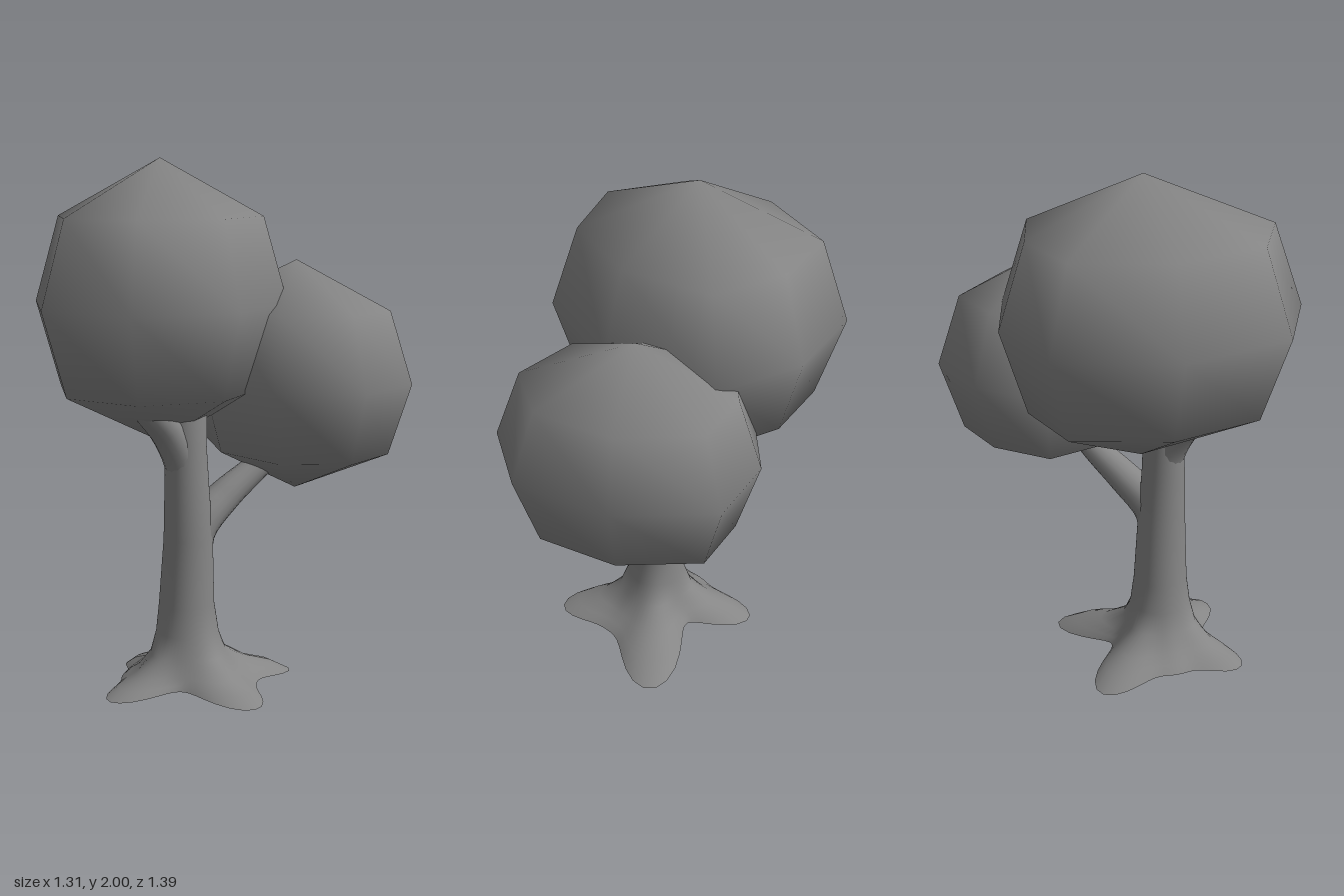
import * as THREE from 'three';

const material = new THREE.MeshStandardMaterial({ color: 0x868686 });
const SIDES = 60;

function addMesh(group, name, geometry) {
  const mesh = new THREE.Mesh(geometry, material);
  mesh.name = name;
  group.add(mesh);
}

// Eight-sided ball, sheared into shape by two horizontal half axes u and v ([x, z])
function crown(center, u, v, height, bottom) {
  const geo = new THREE.SphereGeometry(1, 8, 4);
  const pos = geo.attributes.position;
  const p = new THREE.Vector3();
  for (let i = 0; i < pos.count; i++) {
    p.fromBufferAttribute(pos, i);
    // Upper and lower rings sit a little wider than on a true sphere
    if (Math.abs(p.y) > 0.5 && Math.abs(p.y) < 0.9) {
      p.set(p.x * 0.81 / Math.SQRT1_2, Math.sign(p.y) * 0.6, p.z * 0.81 / Math.SQRT1_2);
    }
    geo.attributes.normal.setXYZ(i, p.x, p.y, p.z);
    // The diagonal corners are pulled in, most of all the rear one
    if (Math.abs(p.x * p.z) > 0.1) {
      const pull = p.x * p.z < 0 ? 0.96 : p.x < 0 ? 0.86 : 1;
      p.x *= pull;
      p.z *= pull;
    }
    if (p.y < -0.9) p.y = -bottom;
    pos.setXYZ(i, p.x, p.y, p.z);
  }
  geo.applyMatrix4(new THREE.Matrix4().set(
    u[0], 0, v[0], center[0],
    0, height, 0, center[1],
    u[1], 0, v[1], center[2],
    0, 0, 0, 1));
  return geo;
}

// Tube whose radius narrows evenly from r0 to r1
function branch(points, r0, r1) {
  const curve = new THREE.CatmullRomCurve3(points.map((p) => new THREE.Vector3(...p)));
  const rows = 16, sides = 16;
  const geo = new THREE.TubeGeometry(curve, rows, 1, sides);
  const pos = geo.attributes.position;
  const p = new THREE.Vector3();
  for (let i = 0; i < pos.count; i++) {
    const t = Math.floor(i / (sides + 1)) / rows;
    const c = curve.getPointAt(t);
    p.fromBufferAttribute(pos, i).sub(c).multiplyScalar(r0 + (r1 - r0) * t).add(c);
    pos.setXYZ(i, p.x, p.y, p.z);
  }
  return geo;
}

// Roots: direction in degrees (from +x towards +z), reach, tip height
const roots = [
  [12, 0.39, 0.04],
  [103, 0.36, 0.04],
  [151, 0.25, 0.05],
  [199, 0.40, 0.015],
  [285, 0.475, 0.005],
  [330, 0.25, 0.05],
];

// Reach and drop of the roots at an angle
function rootAt(angle) {
  let reach = 0, drop = 0;
  for (const [deg, length, tip] of roots) {
    const c = Math.max(0, Math.cos(angle - THREE.MathUtils.degToRad(deg)));
    const w = c ** 11;
    reach += (length - 0.18) * w;
    drop += (0.065 - tip) * w;
  }
  return { reach, drop };
}

// Joins closed rings of [x, y, z] with quads, the rings running upwards
function loft(rings) {
  const n = rings[0].length, index = [];
  for (let r = 0; r < rings.length - 1; r++) {
    for (let i = 0; i < n; i++) {
      const a = r * n + i, b = r * n + (i + 1) % n;
      index.push(a, a + n, b, b, a + n, b + n);
    }
  }
  const geo = new THREE.BufferGeometry();
  geo.setAttribute('position', new THREE.Float32BufferAttribute(rings.flat(2), 3));
  geo.setIndex(index);
  geo.computeVertexNormals();
  return geo;
}

// One ring; spread is how far it follows the roots, sink how far it drops to their tips
function ring([y, radius, x, z, spread = 0, sink = 0]) {
  return Array.from({ length: SIDES }, (_, i) => {
    const a = (i / SIDES) * Math.PI * 2;
    const { reach, drop } = rootAt(a);
    const r = radius + reach * spread;
    return [x + Math.cos(a) * r, y - drop * sink, z + Math.sin(a) * r];
  });
}

export function createModel() {
  const group = new THREE.Group();
  group.name = 'tree';

  // Trunk flaring into roots
  const trunkRings = [
    [0.062, 0.18, 0.03, 0.18, 1, 1],
    [0.080, 0.172, 0.03, 0.18, 0.72, 0.45],
    [0.100, 0.162, 0.03, 0.18, 0.36, 0.1],
    [0.16, 0.135, 0.03, 0.18, 0.08],
    [0.24, 0.118, 0.028, 0.18],
    [0.35, 0.104, 0.025, 0.18],
    [0.60, 0.092, 0.034, 0.18],
    [0.80, 0.083, 0.032, 0.185],
    [0.95, 0.077, 0.028, 0.185],
    [1.08, 0.082, 0.02, 0.18],
    [1.2, 0.08, 0.0, 0.17],
  ];
  addMesh(group, 'trunk', loft(trunkRings.map(ring)));

  // Hollow underside of the roots
  addMesh(group, 'rootUnderside', loft([
    ring([0.1, 0.001, 0.03, 0.18]),
    ring([0.082, 0.11, 0.03, 0.18, 0.3, 0.2]),
    ring([0.062, 0.18, 0.03, 0.18, 1, 1]),
  ]));

  // Branches, both growing out of the middle of the trunk
  addMesh(group, 'backBranch', branch([
    [0.035, 0.5, 0.18], [0.045, 0.63, 0.145], [0.075, 0.735, 0.02],
    [0.12, 0.83, -0.12], [0.19, 0.95, -0.28],
  ], 0.086, 0.035));
  addMesh(group, 'frontBranch', branch([
    [0.03, 0.74, 0.185], [0.027, 0.87, 0.195], [0.01, 1.0, 0.26],
    [-0.01, 1.12, 0.37], [-0.03, 1.25, 0.46],
  ], 0.076, 0.05));

  // Leaf crowns
  addMesh(group, 'upperCrown', crown([-0.13, 1.47, 0.14], [0.52, 0.18], [-0.07, 0.555], 0.53, 1));
  addMesh(group, 'lowerCrown', crown([0.19, 1.17, -0.28], [0.46, -0.10], [0.21, 0.42], 0.45, 0.96));

  return group;
}
